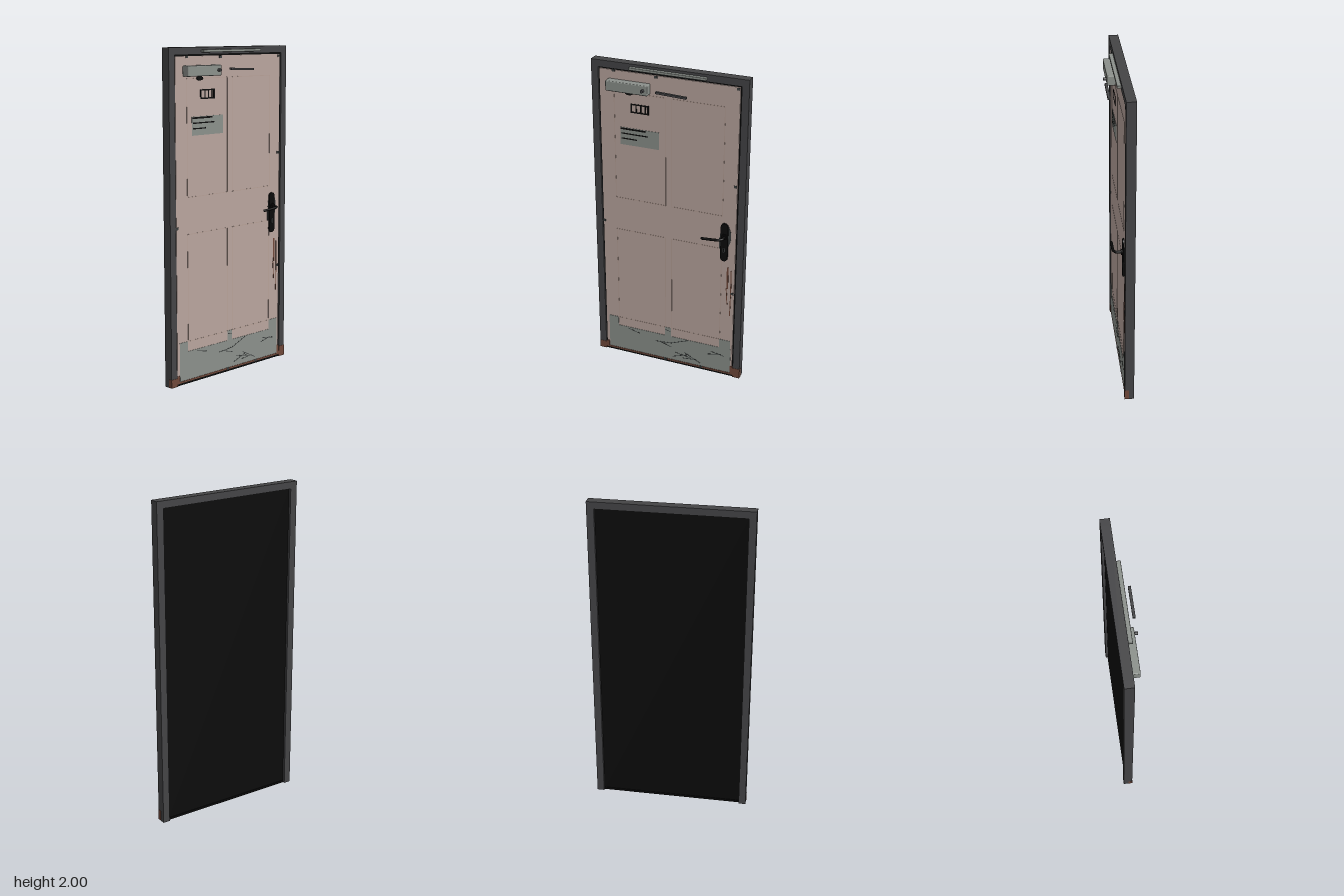
import * as THREE from 'three';
import { RoundedBoxGeometry } from 'three/addons/geometries/RoundedBoxGeometry.js';

const material = (name, color) => {
  const m = new THREE.MeshStandardMaterial({ color });
  m.name = name;
  return m;
};

export function createModel() {
  const frameGrey = material('frame grey', 0x444446);
  const pink = material('faded pink paint', 0xb9a59e);
  const groove = material('panel line tan', 0xb59f95);
  const steel = material('worn steel', 0x8b908b);
  const black = material('black', 0x0b0b0b);
  const rust = material('rust', 0x70483a);
  const wear = material('dark wear', 0x3c4040);

  const model = new THREE.Group();
  model.name = 'door';
  const FACE = -0.01; // front plane of the leaf, which faces +x

  const add = (name, geometry, mat, x = 0, y = 0, z = 0, parent = model) => {
    const mesh = new THREE.Mesh(geometry, mat);
    mesh.name = name;
    mesh.position.set(x, y, z);
    parent.add(mesh);
    return mesh;
  };
  // box given by its limits
  const box = (name, mat, x0, x1, y0, y1, z0, z1) =>
    add(name, new THREE.BoxGeometry(x1 - x0, y1 - y0, z1 - z0), mat,
      (x0 + x1) / 2, (y0 + y1) / 2, (z0 + z1) / 2);
  // thin plate lying on the leaf
  const plate = (name, mat, z0, z1, y0, y1, lift = 0.002) =>
    box(name, mat, FACE - 0.001, FACE + lift, y0, y1, z0, z1);
  // thin straight mark between two points (z, y)
  const mark = (name, mat, z0, y0, z1, y1, width = 0.005, lift = 0.003) => {
    const length = Math.hypot(z1 - z0, y1 - y0);
    const m = add(name, new THREE.BoxGeometry(0.002, width, length), mat,
      FACE + lift - 0.001, (y0 + y1) / 2, (z0 + z1) / 2);
    m.rotation.x = -Math.atan2(y1 - y0, z1 - z0);
    return m;
  };
  // cylinder whose axis points along x
  const rod = (name, mat, r, x0, x1, y, z, sides = 20) => {
    const m = add(name, new THREE.CylinderGeometry(r, r, x1 - x0, sides), mat, (x0 + x1) / 2, y, z);
    m.rotation.z = -Math.PI / 2;
    return m;
  };

  // Frame
  for (const s of [-1, 1]) {
    box('frameJamb', frameGrey, -0.062, -0.005, 0, 2, Math.min(s * 0.441, s * 0.485), Math.max(s * 0.441, s * 0.485));
  }
  box('frameHead', frameGrey, -0.062, -0.005, 1.957, 2, -0.441, 0.441);

  // Leaf with dark core and painted front
  box('leafCore', black, -0.046, -0.016, 0.006, 1.957, -0.441, 0.441);
  box('leafFront', pink, -0.018, FACE, 0.022, 1.949, -0.432, 0.434);

  // Outlines of the four pressed panels
  for (const s of [-1, 1]) {
    for (const [y0, y1] of [[0.26, 0.91], [1.13, 1.82]]) {
      const a = s * 0.02, b = s * 0.345;
      for (const z of [a, b]) mark('panelLine', groove, z, y0, z, y1, 0.004, 0.001);
      for (const y of [y0, y1]) mark('panelLine', groove, a, y, b, y, 0.004, 0.001);
    }
  }

  // Bottom threshold and rust
  box('threshold', black, -0.05, -0.012, 0, 0.014, -0.441, 0.441);
  box('rustStrip', rust, -0.02, -0.007, 0.014, 0.024, -0.425, 0.425);
  box('rustUnderside', rust, -0.04, -0.02, -0.0005, 0.002, -0.42, 0.42);
  for (const s of [-1, 1]) {
    const top = s > 0 ? 0.052 : 0.068;
    box('jambRust', rust, -0.03, -0.0035, 0.001, top, Math.min(s * 0.438, s * 0.4865), Math.max(s * 0.438, s * 0.4865));
    plate('cornerRust', rust, Math.min(s * 0.42, s * 0.438), Math.max(s * 0.42, s * 0.438), 0.014, top + 0.01, 0.004);
  }

  // Kick plate with three tabs
  plate('kickPlate', steel, -0.422, 0.415, 0.026, 0.2);
  for (const [z0, z1] of [[0.35, 0.415], [-0.018, 0.022], [-0.418, -0.345]]) {
    plate('kickPlateTab', steel, z0, z1, 0.2, 0.262);
  }
  const scratches = [
    [0.28, 0.19, 0.2, 0.17], [0.09, 0.14, -0.02, 0.15], [0.05, 0.14, -0.02, 0.12],
    [-0.02, 0.15, -0.13, 0.195], [-0.27, 0.13, -0.36, 0.15], [-0.29, 0.155, -0.38, 0.14],
    [-0.03, 0.05, -0.14, 0.09], [-0.05, 0.085, -0.15, 0.07], [-0.11, 0.1, -0.22, 0.045],
    [-0.1, 0.055, -0.19, 0.065], [0.02, 0.245, -0.015, 0.235],
  ];
  for (const p of scratches) mark('kickPlateScratch', wear, ...p, 0.004);

  // Rusty scratches below the lock
  for (const p of [[-0.387, 0.79, -0.389, 0.64, 0.01], [-0.381, 0.64, -0.389, 0.53, 0.005],
    [-0.41, 0.77, -0.411, 0.62, 0.006], [-0.411, 0.62, -0.408, 0.45, 0.005]]) {
    mark('rustScratch', rust, ...p);
  }

  // Small chips along the leaf edges
  for (const [z, y] of [[0.345, 1.947], [0.078, 1.94], [-0.42, 1.938], [-0.42, 1.336],
    [-0.42, 0.61], [0.43, 0.955], [0.02, 0.018], [-0.225, 0.02]]) {
    plate('paintChip', wear, z - 0.009, z + 0.009, y - 0.007, y + 0.007, 0.004);
  }

  // Bar on the frame head
  add('headBar', new RoundedBoxGeometry(0.024, 0.016, 0.474, 2, 0.003), steel, 0.007, 1.977, 0);

  // Door closer with its spindle and arm
  add('closerBody', new RoundedBoxGeometry(0.052, 0.062, 0.265, 2, 0.006), steel, 0.015, 1.865, 0.245);
  rod('closerSpindle', frameGrey, 0.009, 0.038, 0.06, 1.866, 0.14);
  const arm = add('closerArm', new THREE.BoxGeometry(0.016, 0.012, 0.188), frameGrey, 0.052, 1.868, -0.04);
  arm.rotation.x = -0.04;

  // Dark stop under the closer
  rod('closerStop', black, 0.012, FACE, -0.003, 1.82, 0.247).scale.z = 2.1;

  // Small slotted plate: a black border with open bars
  for (const y of [1.703, 1.752]) plate('slotBorder', black, 0.124, 0.24, y - 0.004, y + 0.004);
  for (const [z, w] of [[0.235, 0.01], [0.204, 0.007], [0.175, 0.007], [0.146, 0.007], [0.13, 0.012]]) {
    plate('slotBar', black, z - w / 2, z + w / 2, 1.703, 1.752);
  }

  // Notice plate with plain ruled lines
  plate('noticePlate', steel, 0.06, 0.308, 1.49, 1.6);
  mark('noticeLine', black, 0.305, 1.592, 0.145, 1.592, 0.01);
  mark('noticeLine', black, 0.302, 1.562, 0.13, 1.562, 0.007);
  mark('noticeLine', black, 0.302, 1.53, 0.2, 1.53, 0.007);

  // Worn patch behind the handle
  const patch = rod('handleWear', wear, 0.035, FACE - 0.001, FACE + 0.002, 1.0, -0.368, 14);
  patch.scale.x = 2.3;
  plate('handleWearEdge', wear, -0.345, -0.328, 0.91, 0.985);

  // Handle backplate with rounded ends
  const r = 0.023;
  const outline = new THREE.Shape();
  outline.absarc(0, 0.104, r, 0, Math.PI, false);
  outline.absarc(0, -0.104, r, Math.PI, Math.PI * 2, false);
  outline.closePath();
  const back = add('handleBackplate', new THREE.ExtrudeGeometry(outline,
    { depth: 0.01, bevelEnabled: false, curveSegments: 12 }), black, FACE, 0.96, -0.362);
  back.rotation.y = Math.PI / 2;

  // Lever
  rod('handleCollar', black, 0.018, -0.002, 0.008, 1.0, -0.364);
  const path = new THREE.CatmullRomCurve3([
    [-0.004, 1.0, -0.364], [0.034, 1.0, -0.364], [0.044, 1.0, -0.356],
    [0.052, 0.998, -0.335], [0.052, 0.994, -0.29], [0.052, 0.991, -0.24],
  ].map((p) => new THREE.Vector3(...p)), false, 'catmullrom', 0.3);
  add('handleLever', new THREE.TubeGeometry(path, 32, 0.008, 12), black);
  add('leverTip', new THREE.SphereGeometry(0.008, 12, 8), black, 0.052, 0.991, -0.24);

  // Keyhole
  box('keyholeCover', wear, -0.001, 0.0015, 0.894, 0.922, -0.369, -0.355);
  box('keyhole', black, 0.001, 0.0025, 0.899, 0.917, -0.365, -0.359);

  return model;
}
